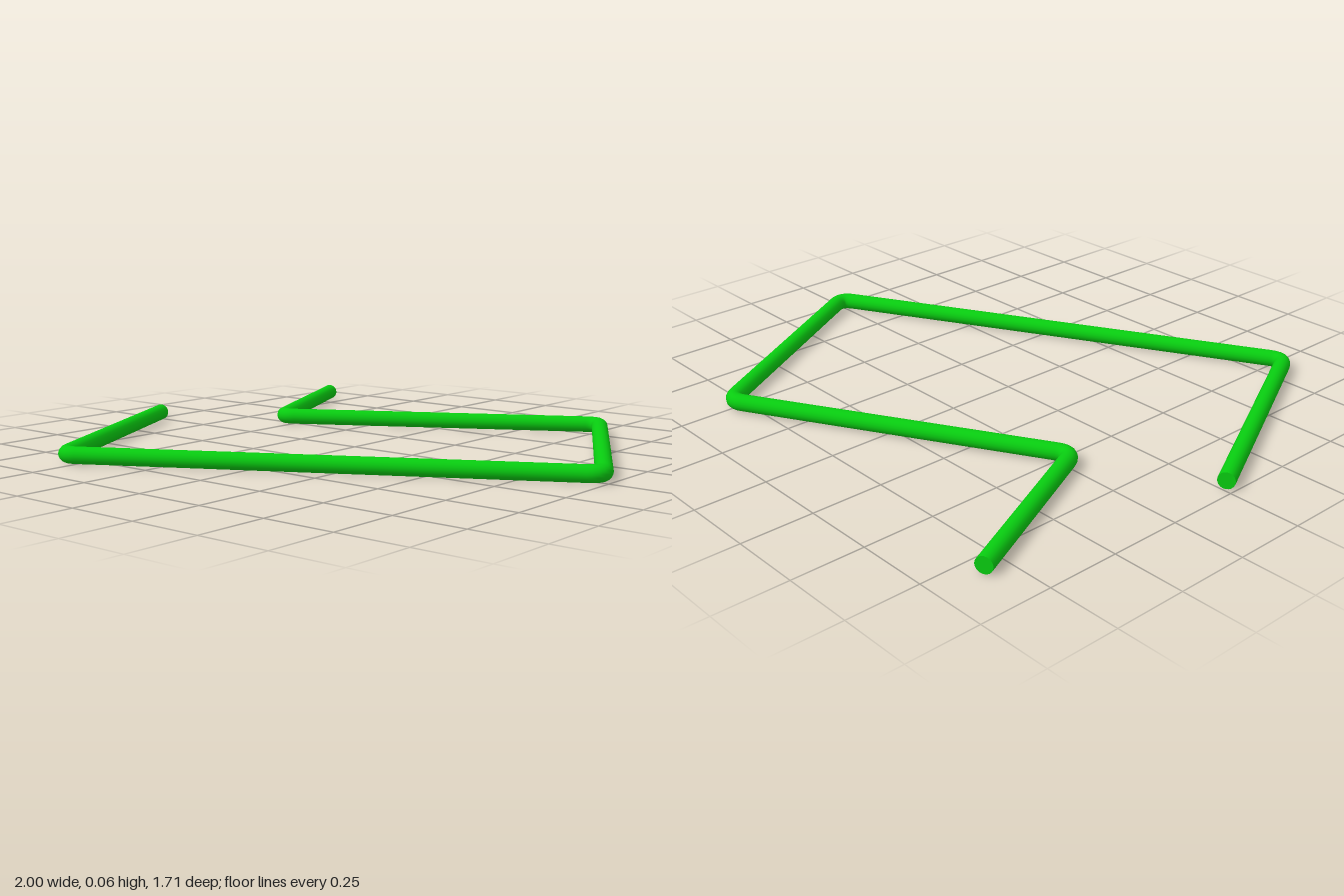
import * as THREE from 'three';

const RADIUS = 0.029;
const BEND = 0.05; // length of straight rod replaced by each bend

// Polyline through the corners, each corner eased with a short curve
function bentPath(points) {
  const path = new THREE.CurvePath();
  let start = points[0];
  for (let i = 1; i < points.length - 1; i++) {
    const corner = points[i];
    const towards = (p) => corner.clone().add(p.clone().sub(corner).setLength(BEND));
    const a = towards(points[i - 1]);
    const b = towards(points[i + 1]);
    path.add(new THREE.LineCurve3(start, a));
    path.add(new THREE.QuadraticBezierCurve3(a, corner, b));
    start = b;
  }
  path.add(new THREE.LineCurve3(start, points[points.length - 1]));
  path.arcLengthDivisions = 1000;
  return path;
}

export function createModel() {
  const group = new THREE.Group();
  group.name = 'bentRod';
  const material = new THREE.MeshStandardMaterial({ color: 0x08cc10 });

  // Corners of the rod, seen from above as [x, z]
  const points = [
    [-0.83, -0.84], [-0.54, -0.215], [0.505, -0.81],
    [0.985, 0], [-0.545, 0.842], [-0.973, 0.01],
  ].map(([x, z]) => new THREE.Vector3(x, RADIUS, z));

  // Continuous round rod
  const path = bentPath(points);
  const rod = new THREE.Mesh(new THREE.TubeGeometry(path, 400, RADIUS, 20), material);
  rod.name = 'rod';
  group.add(rod);

  // Flat discs closing both ends
  const ends = [['startCap', points[0], points[1]], ['endCap', points[5], points[4]]];
  for (const [name, tip, inner] of ends) {
    const cap = new THREE.Mesh(new THREE.CircleGeometry(RADIUS, 20), material);
    cap.name = name;
    cap.position.copy(tip);
    cap.lookAt(tip.clone().multiplyScalar(2).sub(inner));
    group.add(cap);
  }
  return group;
}
